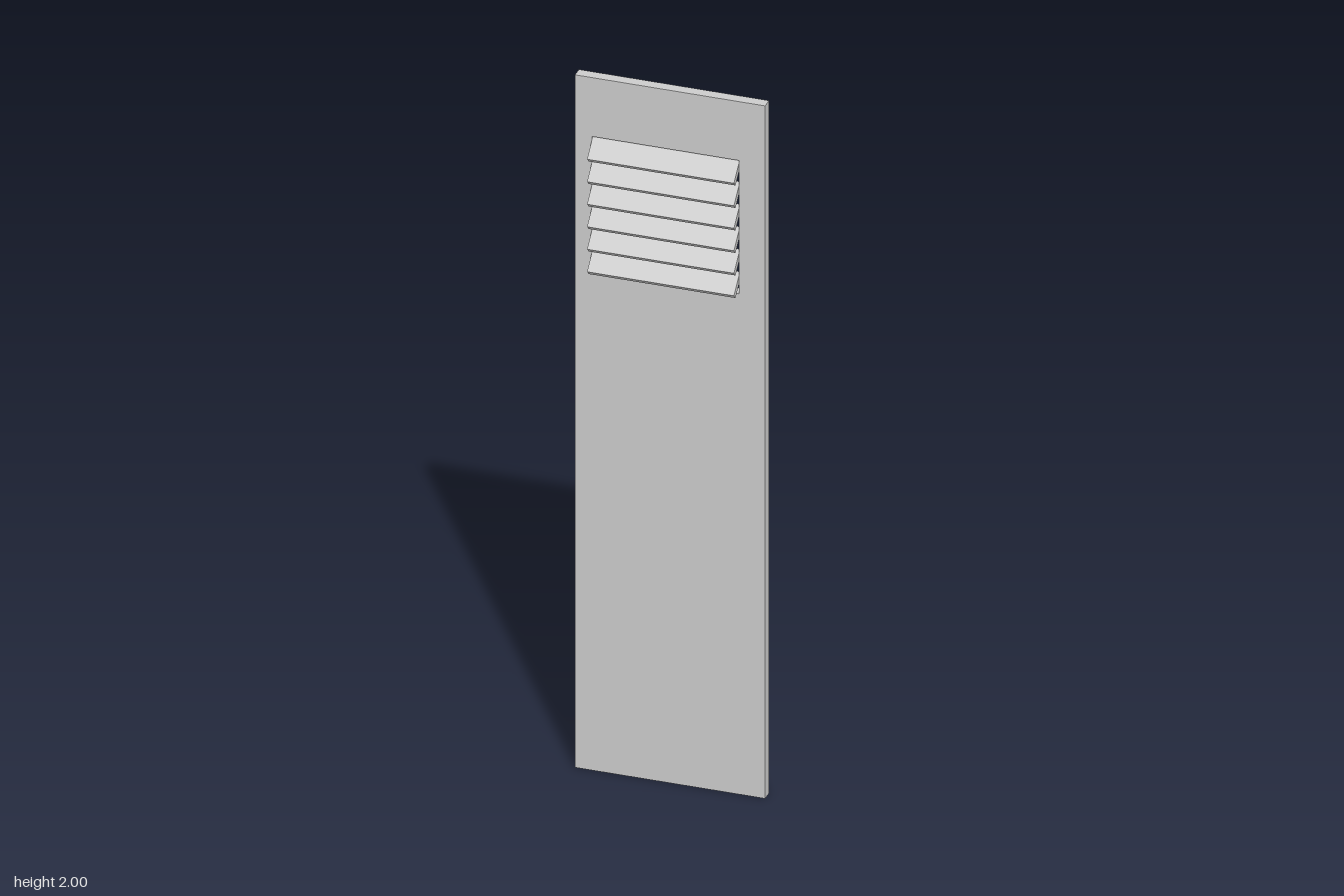
import * as THREE from 'three';

export function createModel() {
  const model = new THREE.Group();
  const material = new THREE.MeshStandardMaterial({ color: 0xcccccc });

  // Vent opening, slightly off-centre in the panel
  const left = -0.211, right = 0.186, bottom = 1.445, top = 1.83;

  // Tall flat panel with a rectangular opening
  const outline = new THREE.Shape([
    new THREE.Vector2(-0.257, 0), new THREE.Vector2(0.257, 0),
    new THREE.Vector2(0.257, 2), new THREE.Vector2(-0.257, 2),
  ]);
  outline.holes.push(new THREE.Path([
    new THREE.Vector2(left, bottom), new THREE.Vector2(left, top),
    new THREE.Vector2(right, top), new THREE.Vector2(right, bottom),
  ]));
  const panelGeometry = new THREE.ExtrudeGeometry(outline, { depth: 0.031, bevelEnabled: false });
  const panel = new THREE.Mesh(panelGeometry, material);
  panel.name = 'panel';
  panel.position.z = -0.035;
  model.add(panel);

  // Six slats sloping down and outwards at 45 degrees
  const louvre = new THREE.Group();
  louvre.name = 'louvre';
  const slatGeometry = new THREE.BoxGeometry(right - left, 0.018, 0.066);
  for (let i = 0; i < 6; i++) {
    const slat = new THREE.Mesh(slatGeometry, material);
    slat.name = `slat${i + 1}`;
    slat.position.set((left + right) / 2, 1.8 - i * 0.065, 0.004);
    slat.rotation.x = Math.PI / 4;
    louvre.add(slat);
  }
  model.add(louvre);

  return model;
}
